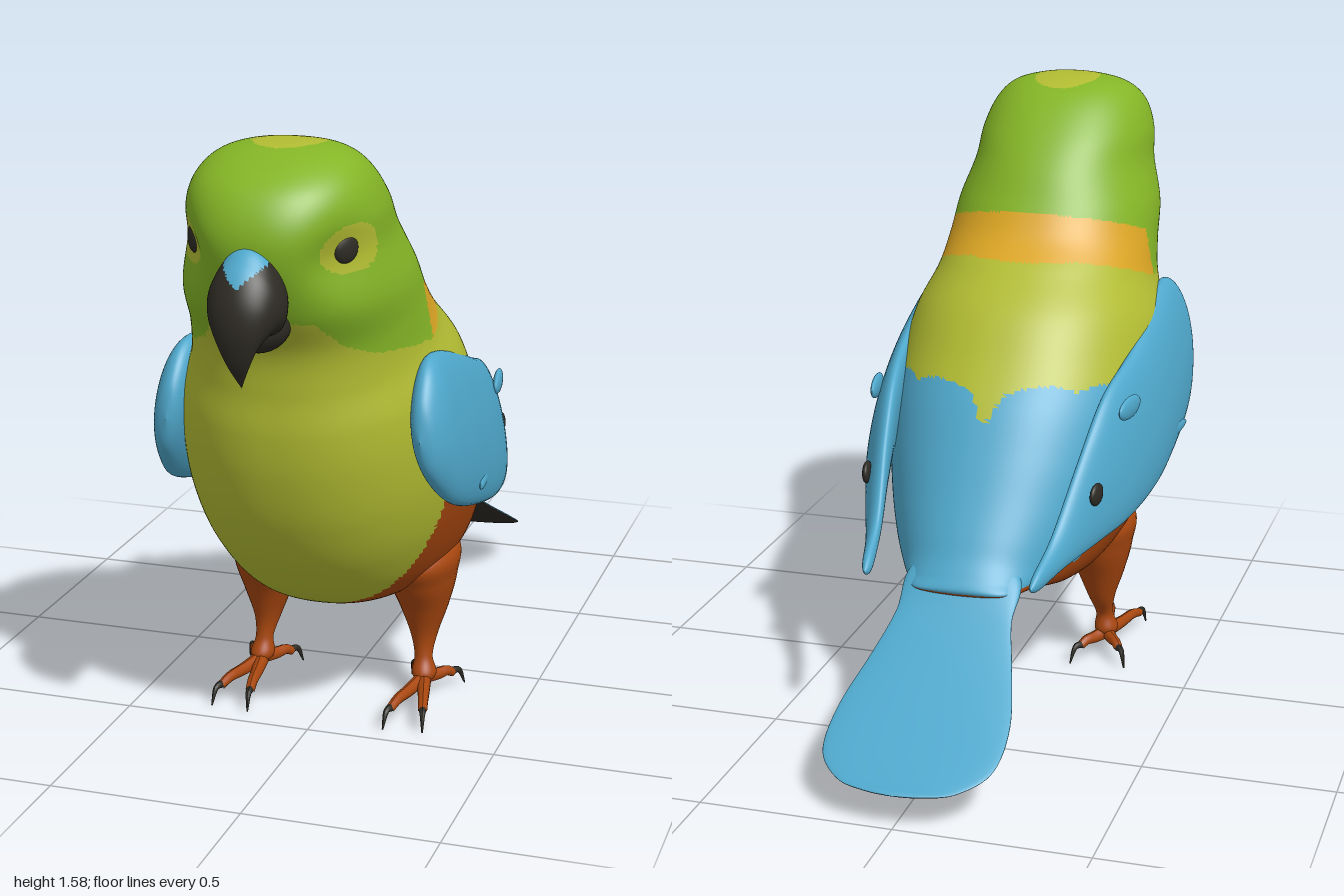
import * as THREE from 'three';

const mat = (name, color) => Object.assign(new THREE.MeshStandardMaterial({ color }), { name });
const M = {
  green: mat('head green', 0x84b526),
  lime: mat('breast yellow green', 0xb2bc32),
  collar: mat('collar yellow', 0xdca624),
  blue: mat('wing blue', 0x4fa8cc),
  rust: mat('belly rust', 0xa8470f),
  dark: mat('beak dark', 0x2e2b24),
};

// Piecewise linear lookup through [position, value] pairs of rising position
function lookup(pairs, t) {
  if (t <= pairs[0][0]) return pairs[0][1];
  for (let i = 1; i < pairs.length; i++) {
    const [a, va] = pairs[i - 1], [b, vb] = pairs[i];
    if (t <= b) return va + ((vb - va) * (t - a)) / (b - a);
  }
  return pairs[pairs.length - 1][1];
}

// Smooth value of column k at position t along the rows
function spline(rows, k, t) {
  const i = Math.min(Math.floor(t), rows.length - 2), f = t - i;
  const at = (n) => rows[Math.max(0, Math.min(rows.length - 1, n))][k] || 0;
  const p0 = at(i - 1), p1 = at(i), p2 = at(i + 1), p3 = at(i + 2);
  return p1 + 0.5 * f * (p2 - p0 + f * (2 * p0 - 5 * p1 + 4 * p2 - p3 + f * (3 * (p1 - p2) + p3 - p0)));
}

// Skin over elliptical sections: row = [z1, y1, z2, y2, halfWidth, centreX, tilt].
// paint(x, y, z, c) picks a material per face; c runs from -1 at point 1 to 1 at point 2.
function loft(name, rows, nu, nv, paint, { side = 1, power = 1, shape } = {}) {
  const pos = [], cosines = [], v = new THREE.Vector3();
  for (let i = 0; i <= nu; i++) {
    const [z1, y1, z2, y2, w, cx, tilt] = [0, 1, 2, 3, 4, 5, 6].map((k) => spline(rows, k, (i / nu) * (rows.length - 1)));
    for (let j = 0; j < nv; j++) {
      const a = (j / nv) * Math.PI * 2, c = Math.cos(a), s = Math.sin(a);
      v.set(side * (cx + tilt * c) + Math.max(w, 0) * Math.sign(s) * Math.abs(s) ** power,
        (y1 + y2) / 2 + ((y2 - y1) / 2) * c, (z1 + z2) / 2 + ((z2 - z1) / 2) * c);
      if (shape) shape(v);
      pos.push(v.x, v.y, v.z);
      cosines.push(c);
    }
  }
  const buckets = new Map();
  const face = (...ids) => {
    const mid = (k) => ids.reduce((sum, n) => sum + pos[n * 3 + k], 0) / 3;
    const m = paint(mid(0), mid(1), mid(2), ids.reduce((sum, n) => sum + cosines[n], 0) / 3);
    if (!buckets.has(m)) buckets.set(m, []);
    buckets.get(m).push(...ids);
  };
  for (let i = 0; i < nu; i++) for (let j = 0; j < nv; j++) {
    const a = i * nv + j, b = i * nv + ((j + 1) % nv);
    if (i < nu - 1) face(a, a + nv, b + nv);
    else face(a, a + nv, b);
    if (i > 0 && i < nu - 1) face(a, b + nv, b);
  }
  const geo = new THREE.BufferGeometry(), index = [], materials = [];
  for (const [m, ids] of buckets) {
    geo.addGroup(index.length, ids.length, materials.length);
    for (const n of ids) index.push(n);
    materials.push(m);
  }
  geo.setAttribute('position', new THREE.Float32BufferAttribute(pos, 3));
  geo.setIndex(index);
  geo.computeVertexNormals();
  const mesh = new THREE.Mesh(geo, materials);
  mesh.name = name;
  return mesh;
}

// Tube that narrows from radius r0 to r1
function taper(name, points, r0, r1, material) {
  const curve = new THREE.CatmullRomCurve3(points.map((p) => new THREE.Vector3(...p)));
  const geo = new THREE.TubeGeometry(curve, 10, r0, 10), p = geo.attributes.position, v = new THREE.Vector3();
  for (let i = 0; i < p.count; i++) {
    const t = Math.floor(i / 11) / 10;
    v.fromBufferAttribute(p, i).lerp(curve.getPointAt(t), t * (1 - r1 / r0));
    p.setXYZ(i, v.x, v.y, v.z);
  }
  geo.computeVertexNormals();
  const mesh = new THREE.Mesh(geo, material);
  mesh.name = name;
  return mesh;
}

function ellipsoid(name, material, [x, y, z], [sx, sy, sz]) {
  const mesh = new THREE.Mesh(new THREE.SphereGeometry(1, 32, 20), material);
  mesh.name = name;
  mesh.position.set(x, y, z);
  mesh.scale.set(sx, sy, sz);
  return mesh;
}

// Plumage borders
const headEdge = [[0.13, 1.15], [0.4, 1.06], [0.65, 1.08], [0.72, 1.11], [0.8, 1.18]];
const collarEdge = [[0.12, 1.3], [0.2, 1.26], [0.4, 1.19]];
const bellyEdge = [[-0.45, 0.41], [-0.2, 0.43], [-0.1, 0.5], [0.4, 0.64]];
const backEdge = [[0, -0.25], [0.05, -0.19], [0.1, -0.17], [0.22, -0.11], [0.3, 0], [0.35, 0.2], [0.37, 0.3]];

function plumage(x, y, z) {
  const ax = Math.abs(x);
  if (y > 1.5 && Math.hypot(x / 0.09, (z - 0.59) / 0.11) < 1) return M.lime;
  if (ax > 0.1 && Math.hypot((z - 0.74) / 0.08, (y - 1.355) / 0.06) < 1) return M.lime;
  if (y > lookup(headEdge, z)) return z < 0.4 && y < lookup(collarEdge, z) ? M.collar : M.green;
  if (z < 0.42 - 0.1 * Math.max(0, y - 0.4) && y < lookup(bellyEdge, z)) return M.rust;
  return z < lookup(backEdge, ax) ? M.blue : M.lime;
}

export function createModel() {
  const bird = new THREE.Group();
  bird.name = 'parrot';

  // Head and body in one skin, from crown to rump; eye sockets pressed in
  bird.add(loft('body', [
    [0.62, 1.58, 0.62, 1.58, 0],
    [0.56, 1.577, 0.69, 1.574, 0.08],
    [0.49, 1.56, 0.78, 1.545, 0.16],
    [0.42, 1.52, 0.86, 1.49, 0.21],
    [0.34, 1.45, 0.9, 1.41, 0.24],
    [0.27, 1.37, 0.895, 1.32, 0.25],
    [0.21, 1.28, 0.84, 1.2, 0.28],
    [0.15, 1.2, 0.77, 1.09, 0.29],
    [0.06, 1.13, 0.752, 0.98, 0.305],
    [-0.05, 1.04, 0.75, 0.87, 0.345],
    [-0.14, 0.93, 0.73, 0.75, 0.365],
    [-0.22, 0.83, 0.68, 0.61, 0.37],
    [-0.29, 0.72, 0.59, 0.47, 0.355],
    [-0.35, 0.62, 0.44, 0.34, 0.32],
    [-0.4, 0.54, 0.22, 0.275, 0.27],
    [-0.43, 0.49, -0.02, 0.285, 0.22],
    [-0.46, 0.45, -0.25, 0.35, 0.17],
    [-0.48, 0.42, -0.43, 0.39, 0.12],
    [-0.47, 0.4, -0.47, 0.4, 0],
  ], 220, 168, plumage, {
    power: 0.88,
    shape: (v) => { v.x *= 1 - 0.17 * Math.exp(-((v.z - 0.8) ** 2 + (v.y - 1.33) ** 2) / 0.008); },
  }));

  // Tail fan, dark beneath
  bird.add(loft('tail', [
    [-0.32, 0.5, -0.32, 0.5, 0],
    [-0.4, 0.48, -0.38, 0.4, 0.145],
    [-0.5, 0.375, -0.5, 0.34, 0.155],
    [-0.6, 0.3, -0.6, 0.262, 0.185],
    [-0.75, 0.21, -0.75, 0.172, 0.225],
    [-0.88, 0.145, -0.88, 0.112, 0.22],
    [-0.96, 0.11, -0.96, 0.09, 0.155],
    [-0.99, 0.1, -0.99, 0.088, 0.08],
    [-1, 0.092, -1, 0.092, 0],
  ], 60, 64, (x, y, z, c) => (c > 0.05 ? (z > -0.45 ? M.rust : M.dark) : M.blue)));

  // Hooked upper beak with blue cere, and lower beak
  bird.add(loft('upperBeak', [
    [0.8, 1.25, 0.8, 1.25, 0],
    [0.78, 1.18, 0.88, 1.372, 0.065],
    [0.84, 1.15, 0.945, 1.342, 0.092],
    [0.9, 1.16, 0.988, 1.275, 0.08],
    [0.945, 1.14, 1, 1.2, 0.052],
    [0.953, 1.1, 0.983, 1.12, 0.025],
    [0.945, 1.055, 0.945, 1.055, 0],
  ], 80, 64, (x, y, z, c) => (c > 0 && y > 1.295 + Math.abs(x) * 0.9 ? M.blue : M.dark)));
  bird.add(ellipsoid('lowerBeak', M.dark, [0, 1.18, 0.82], [0.075, 0.07, 0.09]));

  for (const side of [1, -1]) {
    const label = side > 0 ? 'left' : 'right';

    // Eye
    const eye = ellipsoid(label + 'Eye', M.dark, [side * 0.188, 1.355, 0.748], [0.036, 0.036, 0.014]);
    eye.lookAt(side * (0.188 + 0.82), 1.355, 0.748 + 0.57);
    bird.add(eye);

    // Folded wing, from shoulder to tip
    bird.add(loft(label + 'Wing', [
      [0.61, 0.85, 0.61, 0.85, 0, 0.33, 0],
      [0.59, 0.94, 0.59, 0.77, 0.03, 0.335, 0.01],
      [0.53, 1.015, 0.53, 0.7, 0.05, 0.34, 0.02],
      [0.45, 1.035, 0.45, 0.645, 0.055, 0.345, 0.03],
      [0.3, 1, 0.3, 0.595, 0.055, 0.35, 0.03],
      [0.1, 0.93, 0.1, 0.55, 0.047, 0.35, 0.03],
      [-0.1, 0.86, -0.1, 0.52, 0.04, 0.325, 0.03],
      [-0.25, 0.73, -0.25, 0.5, 0.03, 0.29, 0.02],
      [-0.4, 0.57, -0.4, 0.48, 0.02, 0.25, 0.01],
      [-0.52, 0.505, -0.52, 0.46, 0.014, 0.225, 0],
      [-0.56, 0.475, -0.56, 0.475, 0, 0.22, 0],
    ], 70, 48, () => M.blue, { side }));

    // Raised feathers and the dark spot on the wing
    [['WingSpot', M.dark, 0.314, 0.64, -0.265, 0.03, 0.035],
      ['UpperFeather', M.blue, 0.352, 0.82, -0.07, 0.03, 0.07],
      ['LowerFeather', M.blue, 0.386, 0.66, 0.15, 0.025, 0.2],
    ].forEach(([part, m, x, y, z, h, l]) => {
      const feather = ellipsoid(label + part, m, [side * x, y, z], [0.012, h, l]);
      feather.rotation.y = side * 0.15;
      bird.add(feather);
    });

    // Thigh and shank
    bird.add(loft(label + 'Leg', [
      [0.17, 0.5, 0.17, 0.5, 0, 0.2],
      [0.02, 0.43, 0.33, 0.42, 0.1, 0.205],
      [0.04, 0.35, 0.3, 0.34, 0.09, 0.215],
      [0.09, 0.26, 0.25, 0.26, 0.065, 0.22],
      [0.13, 0.18, 0.22, 0.18, 0.037, 0.222],
      [0.17, 0.12, 0.22, 0.12, 0.024, 0.226],
      [0.165, 0.07, 0.24, 0.07, 0.032, 0.23],
      [0.2, 0.035, 0.2, 0.035, 0, 0.23],
    ], 48, 32, () => M.rust, { side }));

    // Two toes forward and two back, each with a curved claw
    for (const [dx, dz] of [[-0.035, 0.2], [0.05, 0.19], [-0.05, -0.09], [0.055, -0.08]]) {
      const at = (f, y) => [side * (0.23 + dx * f), y, 0.2 + dz * f];
      const reach = 1 + 0.045 / Math.hypot(dx, dz);
      bird.add(taper(label + 'Toe', [at(0, 0.06), at(0.5, 0.055), at(0.8, 0.056), at(1.02, 0.045)], 0.02, 0.012, M.rust));
      bird.add(taper(label + 'Claw', [at(0.97, 0.048), at((1 + reach) / 2, 0.048), at(reach, 0.004)], 0.011, 0.002, M.dark));
    }
  }
  return bird;
}
